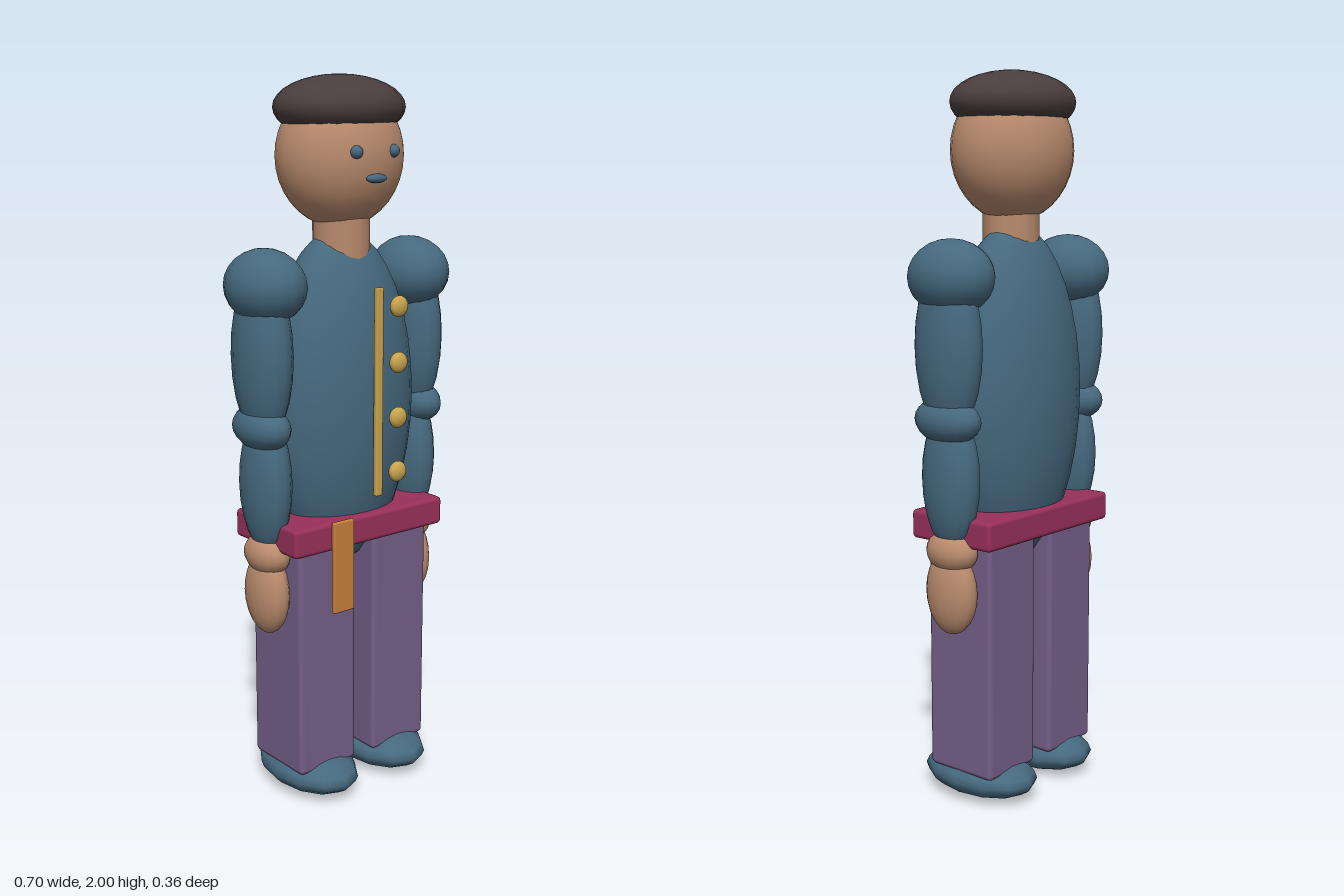
import * as THREE from 'three';
import { RoundedBoxGeometry } from 'three/addons/geometries/RoundedBoxGeometry.js';

const mat = (name, color) => {
  const m = new THREE.MeshStandardMaterial({ color });
  m.name = name;
  return m;
};

export function createModel() {
  const model = new THREE.Group();
  model.name = 'standingFigure';

  const cloth = mat('coat blue', 0x46697e);
  const skin = mat('skin', 0xb98b6d);
  const felt = mat('hat brown', 0x4a3d3d);
  const purple = mat('trouser purple', 0x755f88);
  const crimson = mat('sash crimson', 0x98305a);
  const gold = mat('gold trim', 0xc9a54e);
  const orange = mat('sash tail orange', 0xc87f3d);

  const add = (name, geometry, material, pos, parent = model) => {
    const mesh = new THREE.Mesh(geometry, material);
    mesh.name = name;
    mesh.position.set(...pos);
    parent.add(mesh);
    return mesh;
  };
  // Ellipsoid given by its three radii
  const ball = (name, material, pos, radii, parent, seg = 16) =>
    add(name, new THREE.SphereGeometry(1, seg, Math.max(8, Math.round(seg * 0.375) * 2)).scale(...radii), material, pos, parent);
  // Softly bevelled box
  const box = (name, material, pos, size, bevel, parent) =>
    add(name, new RoundedBoxGeometry(...size, 2, bevel), material, pos, parent);

  // Head, hat and neck
  ball('head', skin, [0, 1.79, -0.01], [0.182, 0.19, 0.157], model, 24);
  ball('hat', felt, [0, 1.915, -0.012], [0.187, 0.085, 0.159], model, 20);
  add('neck', new THREE.CylinderGeometry(0.078, 0.078, 0.16, 16), skin, [0, 1.57, -0.005]);
  ball('mouth', cloth, [0, 1.737, 0.142], [0.034, 0.012, 0.014], model, 12);

  // Coat body with its trim
  ball('torso', cloth, [0, 1.13, -0.012], [0.23, 0.47, 0.156], model, 24);
  box('coatPlacket', gold, [0, 1.17, 0.155], [0.024, 0.57, 0.015], 0.004);
  for (let i = 0; i < 4; i++) {
    ball('button', gold, [0.065, 1.4 - i * 0.152, 0.161], [0.029, 0.029, 0.017], model, 12);
  }

  // Waist sash and its hanging end
  box('sash', crimson, [0, 0.787, -0.009], [0.526, 0.08, 0.28], 0.012);
  box('sashTail', orange, [-0.108, 0.7, 0.138], [0.07, 0.26, 0.014], 0.004);

  // Paired parts
  for (const s of [1, -1]) {
    const side = s > 0 ? 'left' : 'right';
    const arm = new THREE.Group();
    arm.name = side + 'Arm';
    model.add(arm);
    ball('shoulder', cloth, [s * 0.25, 1.462, -0.01], [0.102, 0.1, 0.127], arm);
    ball('upperArm', cloth, [s * 0.263, 1.28, -0.01], [0.07, 0.235, 0.104], arm);
    ball('elbow', cloth, [s * 0.268, 1.087, -0.01], [0.063, 0.063, 0.105], arm);
    ball('forearm', cloth, [s * 0.257, 0.93, -0.01], [0.061, 0.195, 0.09], arm);
    ball('wrist', skin, [s * 0.255, 0.73, -0.01], [0.055, 0.058, 0.08], arm);
    ball('hand', skin, [s * 0.257, 0.618, -0.01], [0.05, 0.118, 0.082], arm);

    const leg = new THREE.Group();
    leg.name = side + 'Leg';
    model.add(leg);
    box('trouserLeg', purple, [s * 0.13, 0.43, -0.009], [0.196, 0.68, 0.222], 0.014, leg);
    ball('shoe', cloth, [s * 0.127, 0.064, 0], [0.117, 0.06, 0.181], leg, 12);

    ball(side + 'Eye', cloth, [s * 0.062, 1.805, 0.136], [0.017, 0.017, 0.017], model, 12);
  }
  return model;
}
